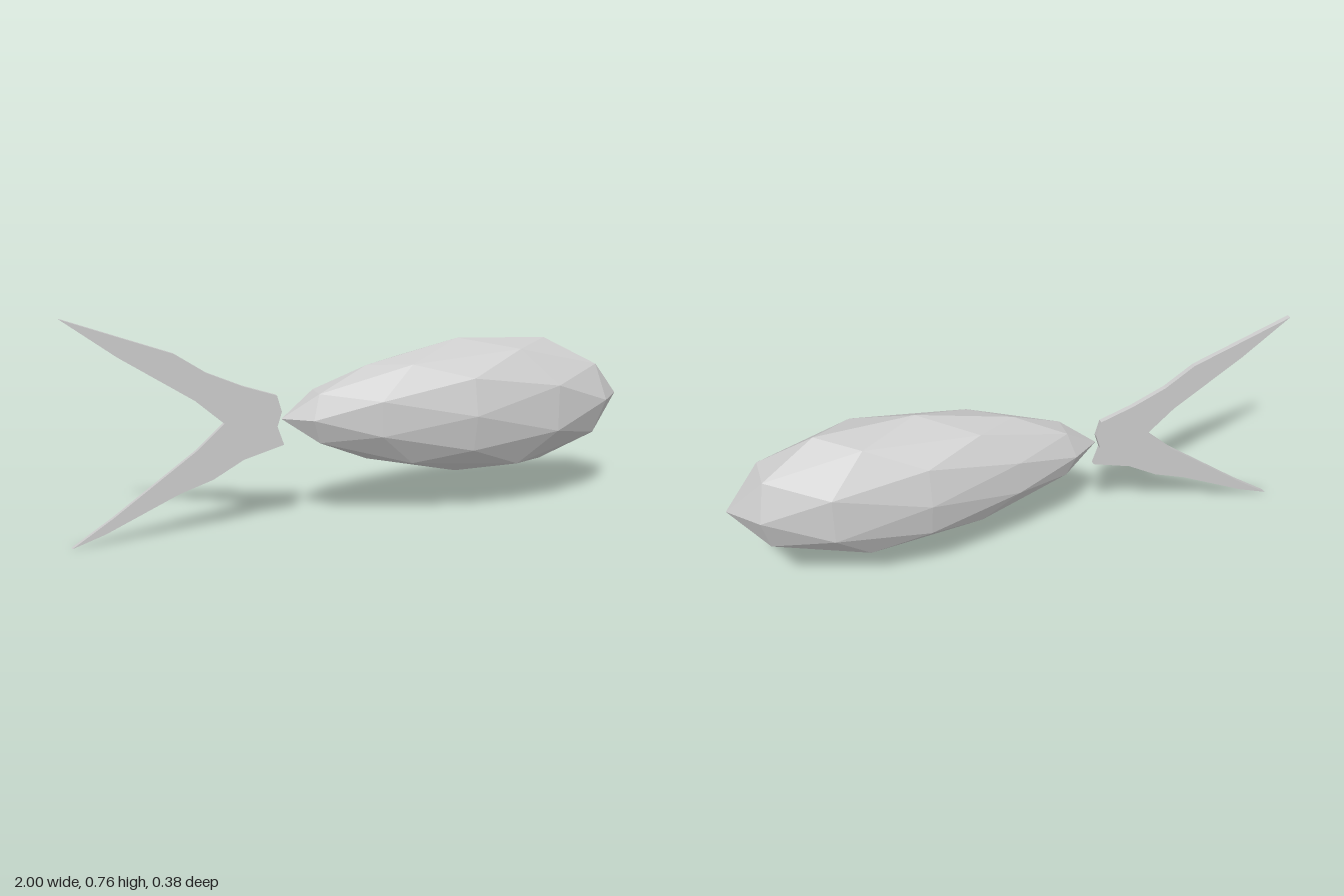
import * as THREE from 'three';

const material = new THREE.MeshStandardMaterial({ color: 0xcccccc, flatShading: true });

// Girth of the body along its length: [position -1..1, factor]
const girth = [[-1, 0.6], [-0.85, 0.69], [-0.52, 0.81], [-0.31, 0.89], [0, 1], [0.31, 1.06], [0.52, 1.095], [0.83, 1.05], [1, 1]];

function girthAt(x) {
  for (let i = 1; i < girth.length; i++) {
    const [x0, g0] = girth[i - 1], [x1, g1] = girth[i];
    if (x <= x1) return THREE.MathUtils.mapLinear(x, x0, x1, g0, g1);
  }
  return 1;
}

// Faceted body: a stretched geodesic ball, fuller to the nose, slim to the tail
function createBody() {
  const geometry = new THREE.IcosahedronGeometry(1, 1);
  const p = geometry.attributes.position;
  for (let i = 0; i < p.count; i++) {
    const x = p.getX(i), g = girthAt(x);
    p.setXYZ(i, x * 0.643, p.getY(i) * g * 0.2425, p.getZ(i) * g * 0.19);
  }
  geometry.computeVertexNormals();
  const body = new THREE.Mesh(geometry, material);
  body.name = 'body';
  body.position.set(0.357, 0.379, 0);
  return body;
}

// Thin forked tail fin
function createTail() {
  const outline = [
    [-1, 0.757], [-0.8, 0.683], [-0.645, 0.626], [-0.54, 0.556], [-0.42, 0.503], [-0.302, 0.463],
    [-0.286, 0.406], [-0.302, 0.355], [-0.28, 0.29],
    [-0.42, 0.25], [-0.527, 0.19], [-0.645, 0.15], [-0.89, 0.038], [-1, 0],
    [-0.863, 0.09], [-0.58, 0.294], [-0.484, 0.38], [-0.58, 0.465], [-0.826, 0.626],
  ];
  const shape = new THREE.Shape(outline.map(([x, y]) => new THREE.Vector2(x, y)));
  const geometry = new THREE.ExtrudeGeometry(shape, { depth: 0.018, bevelEnabled: false });
  geometry.translate(0, 0, -0.009);
  const tail = new THREE.Mesh(geometry, material);
  tail.name = 'tailFin';
  return tail;
}

export function createModel() {
  const group = new THREE.Group();
  group.name = 'fish';
  group.add(createBody(), createTail());
  return group;
}
